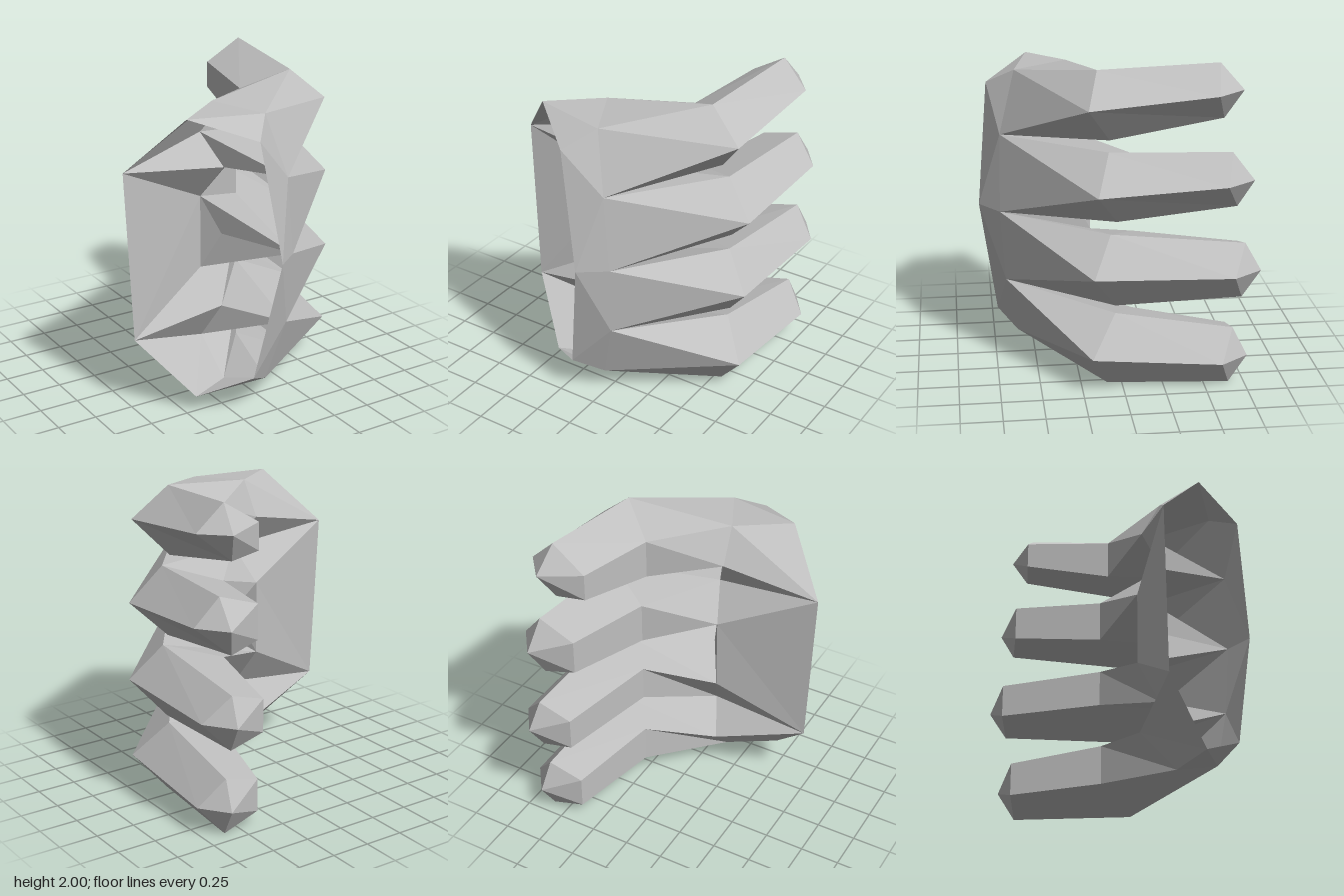
import * as THREE from 'three';

const skin = new THREE.MeshStandardMaterial({ color: 0xc0c0c0, flatShading: true, side: THREE.DoubleSide });
skin.name = 'lightGrey';

// Flat-sided mesh from convex faces, each a list of corner points
function facetMesh(name, faces) {
  const pos = [];
  for (const f of faces)
    for (let i = 1; i < f.length - 1; i++) pos.push(...f[0], ...f[i], ...f[i + 1]);
  const g = new THREE.BufferGeometry();
  g.setAttribute('position', new THREE.Float32BufferAttribute(pos, 3));
  g.computeVertexNormals();
  const m = new THREE.Mesh(g, skin);
  m.name = name;
  return m;
}

// Finger: base of four corners, five-sided knuckle and tip rings, pointed end.
// Rings run top, outer, bottom, inner low, inner high.
function finger(name, [a, b, c, d], k, t, apex) {
  const faces = [
    [a, k[1], k[0]], [a, b, k[1]], [b, k[2], k[1]],
    [b, c, k[3], k[2]], [c, d, k[4], k[3]], [d, a, k[0], k[4]],
  ];
  for (let i = 0; i < 5; i++) {
    const j = (i + 1) % 5;
    faces.push([k[i], k[j], t[j], t[i]], [apex, t[i], t[j]]);
  }
  return facetMesh(name, faces);
}

export function createModel() {
  const hand = new THREE.Group();
  hand.name = 'hand';

  // Open wrist rim
  const palmTop = [-0.78, 1.53, 0.26], rimTop = [-0.49, 1.87, 0.5];
  const ridgeTop = [-0.165, 1.755, 0.77], ridgeMid = [-0.04, 1.0, 0.835], ridgeLow = [-0.165, 0.245, 0.73];
  const rimLow = [-0.44, 0.1, 0.51], palmLow = [-0.735, 0.46, 0.28];
  // Finger roots on the back of the hand
  const rootTop = [-0.02, 1.86, 0.6], web1 = [0.08, 1.48, 0.7], web2 = [0.12, 0.995, 0.71];
  const web3 = [0.1, 0.54, 0.68], rootLow = [0, 0.155, 0.61];
  // Finger roots on the palm
  const p0 = [-0.18, 1.88, 0.27], p1 = [-0.19, 1.66, 0.15], p2 = [-0.1, 1.455, 0.28];
  const p3 = [-0.17, 1.235, 0.12], p4 = [-0.09, 1.01, 0.24], p5 = [-0.17, 0.765, 0.12];
  const p6 = [-0.1, 0.535, 0.26], p7 = [-0.17, 0.305, 0.13], p8 = [-0.14, 0.08, 0.35];

  hand.add(facetMesh('backOfHand', [
    [ridgeTop, web1, rootTop], [ridgeTop, ridgeMid, web1], [ridgeMid, web2, web1],
    [ridgeMid, web3, web2], [ridgeMid, ridgeLow, web3], [ridgeLow, rootLow, web3],
  ]));
  hand.add(facetMesh('handSides', [
    [rootTop, p0, rimTop], [rootTop, rimTop, ridgeTop],
    [p8, rootLow, rimLow], [rootLow, ridgeLow, rimLow],
  ]));
  hand.add(facetMesh('palm', [
    [p0, palmTop, rimTop], [p0, p1, palmTop], [p1, p2, palmTop], [p2, p3, palmTop],
    [p3, p5, palmLow, palmTop], [p5, p6, palmLow], [p6, p7, palmLow], [p7, p8, rimLow, palmLow],
  ]));
  hand.add(facetMesh('fingerWebs', [
    [p1, web1, p2], [p3, web2, p4], [web2, p5, p4], [p3, p4, p5], [p6, web3, p7],
  ]));

  hand.add(finger('indexFinger', [rootTop, web1, p1, p0],
    [[0.47, 1.955, 0.14], [0.69, 1.76, 0.21], [0.51, 1.54, 0.07], [0.23, 1.57, -0.06], [0.23, 1.82, -0.06]],
    [[0.55, 2.0, -0.575], [0.72, 1.835, -0.545], [0.52, 1.66, -0.61], [0.325, 1.69, -0.6], [0.325, 1.86, -0.6]],
    [0.58, 1.84, -0.715]));
  hand.add(finger('middleFinger', [web1, web2, p3, p2],
    [[0.56, 1.48, 0.08], [0.75, 1.255, 0.16], [0.56, 1.05, 0.03], [0.24, 1.11, -0.11], [0.24, 1.375, -0.11]],
    [[0.63, 1.48, -0.645], [0.775, 1.305, -0.6], [0.58, 1.13, -0.69], [0.38, 1.18, -0.67], [0.38, 1.4, -0.67]],
    [0.64, 1.305, -0.78]));
  hand.add(finger('ringFinger', [web2, web3, p6, p5],
    [[0.57, 0.975, 0.07], [0.75, 0.75, 0.185], [0.57, 0.52, 0.04], [0.24, 0.65, -0.11], [0.24, 0.88, -0.11]],
    [[0.61, 0.905, -0.74], [0.765, 0.735, -0.655], [0.61, 0.56, -0.725], [0.39, 0.63, -0.74], [0.39, 0.84, -0.74]],
    [0.635, 0.735, -0.835]));
  hand.add(finger('littleFinger', [web3, rootLow, p8, p7],
    [[0.555, 0.465, 0.04], [0.735, 0.235, 0.195], [0.55, 0.005, 0.09], [0.24, 0.12, -0.1], [0.24, 0.37, -0.1]],
    [[0.61, 0.36, -0.675], [0.76, 0.18, -0.59], [0.61, 0, -0.655], [0.38, 0.09, -0.67], [0.38, 0.3, -0.67]],
    [0.63, 0.18, -0.765]));

  return hand;
}
